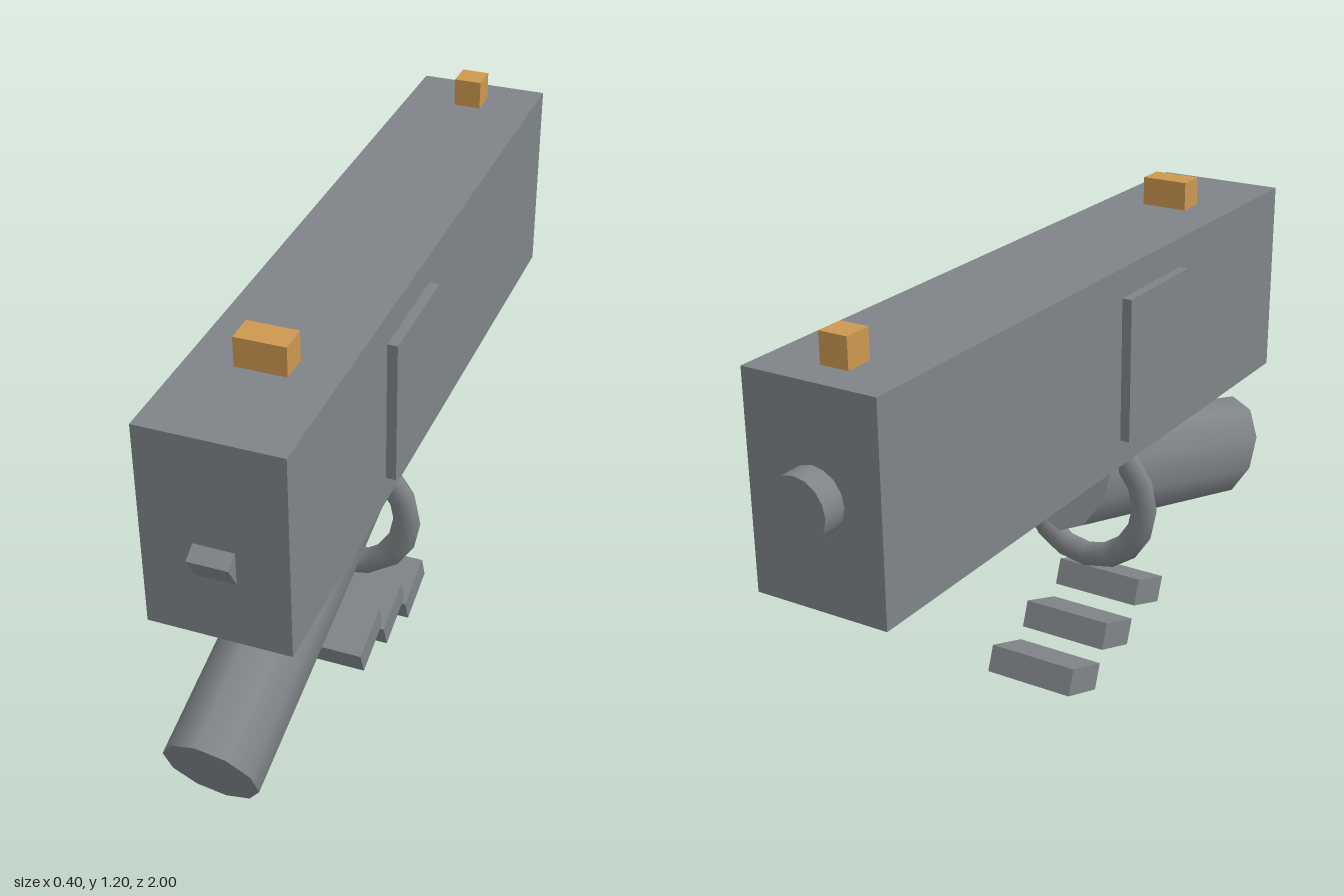
import * as THREE from 'three';

export function createModel() {
  const model = new THREE.Group();
  const steel = new THREE.MeshStandardMaterial({ color: 0x7f8488 });
  steel.name = 'steel grey';
  const brass = new THREE.MeshStandardMaterial({ color: 0xcc9850 });
  brass.name = 'brass';

  const add = (name, geometry, material) => {
    const mesh = new THREE.Mesh(geometry, material);
    mesh.name = name;
    model.add(mesh);
    return mesh;
  };
  const box = (name, [w, h, d], [x, y, z], tilt = 0, material = steel) => {
    const mesh = add(name, new THREE.BoxGeometry(w, h, d), material);
    mesh.position.set(x, y, z);
    mesh.rotation.x = tilt;
    return mesh;
  };

  // Long body with a raised panel on each side
  box('body', [0.332, 0.503, 1.795], [0, 0.877, -0.0425]);
  for (const s of [1, -1]) {
    box(s > 0 ? 'leftPanel' : 'rightPanel', [0.035, 0.36, 0.285], [s * 0.173, 0.875, 0.152]);
  }

  // Sights on top
  box('wideSight', [0.12, 0.082, 0.07], [0, 1.159, 0.56], 0, brass);
  box('narrowSight', [0.07, 0.082, 0.07], [0, 1.159, -0.82], 0, brass);

  // Muzzle at the back end
  const muzzle = add('muzzle', new THREE.CylinderGeometry(0.075, 0.075, 0.16, 16), steel);
  muzzle.rotation.x = Math.PI / 2;
  muzzle.position.set(0, 0.877, -0.92);

  // Hammer and trigger, both tilted
  box('hammer', [0.094, 0.12, 0.1], [0, 0.818, 0.817], 0.524);
  box('trigger', [0.07, 0.15, 0.08], [0, 0.612, 0.088], 0.26);

  // Slanted ten-sided grip with skewed ends
  const grip = new THREE.CylinderGeometry(1, 1, 1, 10);
  grip.applyMatrix4(new THREE.Matrix4().makeBasis(
    new THREE.Vector3(0.108, 0, 0),
    new THREE.Vector3(0, -0.245, 0.87),
    new THREE.Vector3(0, -0.135, -0.065),
  ).setPosition(0, 0.4285, 0.5));
  // The basis is mirrored when its determinant is negative, so check the winding
  add('grip', grip, steel);

  // Trigger guard ring, flattened front to back
  const guard = add('triggerGuard', new THREE.TorusGeometry(0.166, 0.035, 8, 16), steel);
  guard.scale.z = 0.78;
  guard.position.set(0, 0.457, 0.14);

  // Three stepped finger blocks
  for (let i = 0; i < 3; i++) {
    box('fingerBlock' + (i + 1), [0.24, 0.07, 0.142], [0, 0.159 - 0.051 * i, 0.26 - 0.168 * i], 0.35);
  }

  return model;
}
